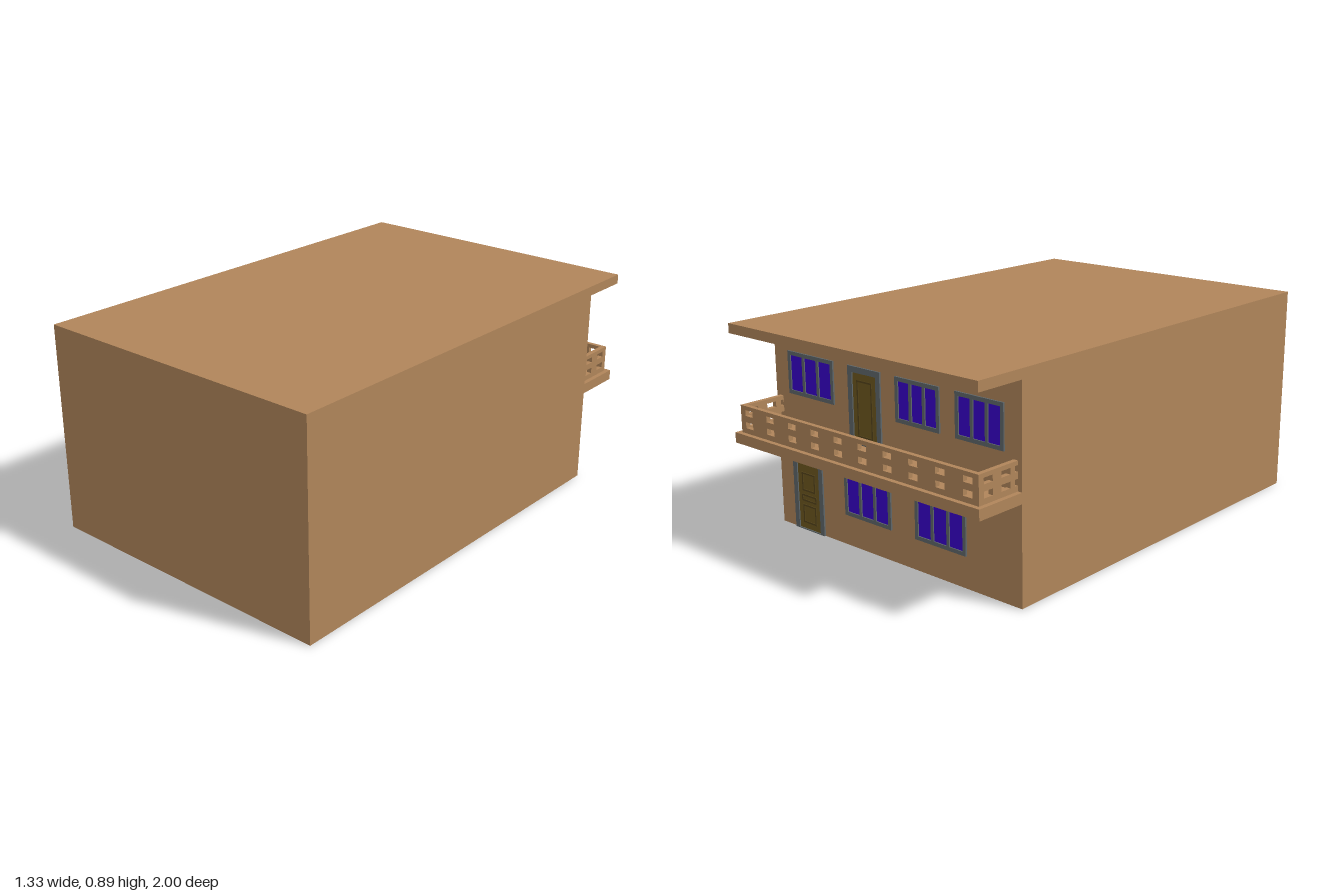
import * as THREE from 'three';

const mat = (color) => new THREE.MeshStandardMaterial({ color });
const wallMat = mat(0xb0855a);
const frameMat = mat(0x5f676a);
const glassMat = mat(0x3800cc);
const doorMat = mat(0x6e581e);
const trimMat = mat(0x54431a);

const W = 1.333;      // width of the house
const WALL = -0.78;   // z of the back wall

// Rectangle [x0, x1, y0, y1] as a list of corners
const corners = ([x0, x1, y0, y1]) => [[x0, y0], [x1, y0], [x1, y1], [x0, y1]]
  .map(([x, y]) => new THREE.Vector2(x, y));

// Flat plate with rectangular holes, centred in depth on z = 0
function plate(outer, holes, depth) {
  const shape = new THREE.Shape(corners(outer));
  for (const h of holes) shape.holes.push(new THREE.Path(corners(h).reverse()));
  return new THREE.ExtrudeGeometry(shape, { depth, bevelEnabled: false }).translate(0, 0, -depth / 2);
}

function add(parent, name, geometry, material) {
  const mesh = new THREE.Mesh(geometry, material);
  mesh.name = name;
  parent.add(mesh);
  return mesh;
}

// Plate fixed to the back wall, standing out by the given depth
function onWall(parent, name, outer, holes, depth, material) {
  add(parent, name, plate(outer, holes, depth), material).position.z = WALL - depth / 2;
}

// Three-pane window
function addWindow(parent, x0, x1, y0, y1) {
  const g = new THREE.Group();
  g.name = 'window';
  const edge = 0.016, bar = 0.014;
  const pane = (x1 - x0 - 2 * edge - 2 * bar) / 3;
  const holes = [0, 1, 2].map((i) => {
    const a = x0 + edge + i * (pane + bar);
    return [a, a + pane, y0 + edge, y1 - edge];
  });
  onWall(g, 'windowFrame', [x0, x1, y0, y1], holes, 0.007, frameMat);
  holes.forEach((h) => onWall(g, 'windowPane', h, [], 0.002, glassMat));
  parent.add(g);
}

// Door with frame and raised panel mouldings
function addDoor(parent, x0, x1, y0, y1, panels) {
  const g = new THREE.Group();
  g.name = 'door';
  const e = 0.024, t = 0.007;
  const leaf = [x0 + e, x1 - e, y0 + 0.004, y1 - e];
  onWall(g, 'doorFrame', [x0, x1, y0, y1], [leaf], 0.007, frameMat);
  onWall(g, 'doorLeaf', leaf, [], 0.002, doorMat);
  const cx = (x0 + x1) / 2;
  for (const [half, a, b] of panels) {
    const outer = [cx - half, cx + half, y0 + a, y0 + b];
    const inner = [cx - half + t, cx + half - t, y0 + a + t, y0 + b - t];
    onWall(g, 'doorMoulding', outer, [inner], 0.005, trimMat);
  }
  parent.add(g);
}

// Two rows of openings around the given centres
const openings = (centres) => centres.flatMap((c) =>
  [[0.465, 0.49], [0.516, 0.54]].map(([a, b]) => [c - 0.0225, c + 0.0225, a, b]));

export function createModel() {
  const house = new THREE.Group();
  house.name = 'house';

  // Body with roof overhang and balcony slab, from one side profile (z, y)
  const profile = new THREE.Shape([
    [1, 0], [1, 0.89], [-1, 0.89], [-1, 0.85], [WALL, 0.85], [WALL, 0.443],
    [-1, 0.443], [-1, 0.4], [WALL, 0.4], [WALL, 0],
  ].map(([z, y]) => new THREE.Vector2(z, y)));
  const body = new THREE.ExtrudeGeometry(profile, { depth: W, bevelEnabled: false });
  body.translate(0, 0, -W / 2).rotateY(-Math.PI / 2);
  add(house, 'houseBody', body, wallMat);

  // Balcony railing: long back wall and two short sides
  const columns = Array.from({ length: 10 }, (_, i) => -0.596 + i * 0.1325);
  const railing = new THREE.Group();
  railing.name = 'balconyRailing';
  add(railing, 'railingBack', plate([-0.647, 0.647, 0.443, 0.557], openings(columns), 0.02), wallMat)
    .position.z = -0.97;
  const sideHoles = openings([-0.9325, -0.8425]);
  sideHoles.push([-0.795, -0.781, 0.465, 0.49], [-0.795, -0.781, 0.516, 0.54]);
  for (const s of [-1, 1]) {
    const side = plate([-0.96, WALL, 0.443, 0.557], sideHoles, 0.02).rotateY(-Math.PI / 2);
    add(railing, 'railingSide', side, wallMat).position.x = s * 0.637;
  }
  house.add(railing);

  // Ground floor openings
  addDoor(house, 0.4, 0.58, 0, 0.31, [[0.04, 0.17, 0.25], [0.045, 0.125, 0.155], [0.04, 0.03, 0.11]]);
  addWindow(house, 0, 0.265, 0.13, 0.31);
  addWindow(house, -0.397, -0.133, 0.13, 0.31);

  // Upper floor openings
  addWindow(house, 0.307, 0.579, 0.578, 0.755);
  addDoor(house, 0.04, 0.22, 0.443, 0.755, [[0.042, 0.03, 0.26]]);
  addWindow(house, -0.272, -0.042, 0.578, 0.755);
  addWindow(house, -0.586, -0.352, 0.578, 0.755);

  return house;
}
